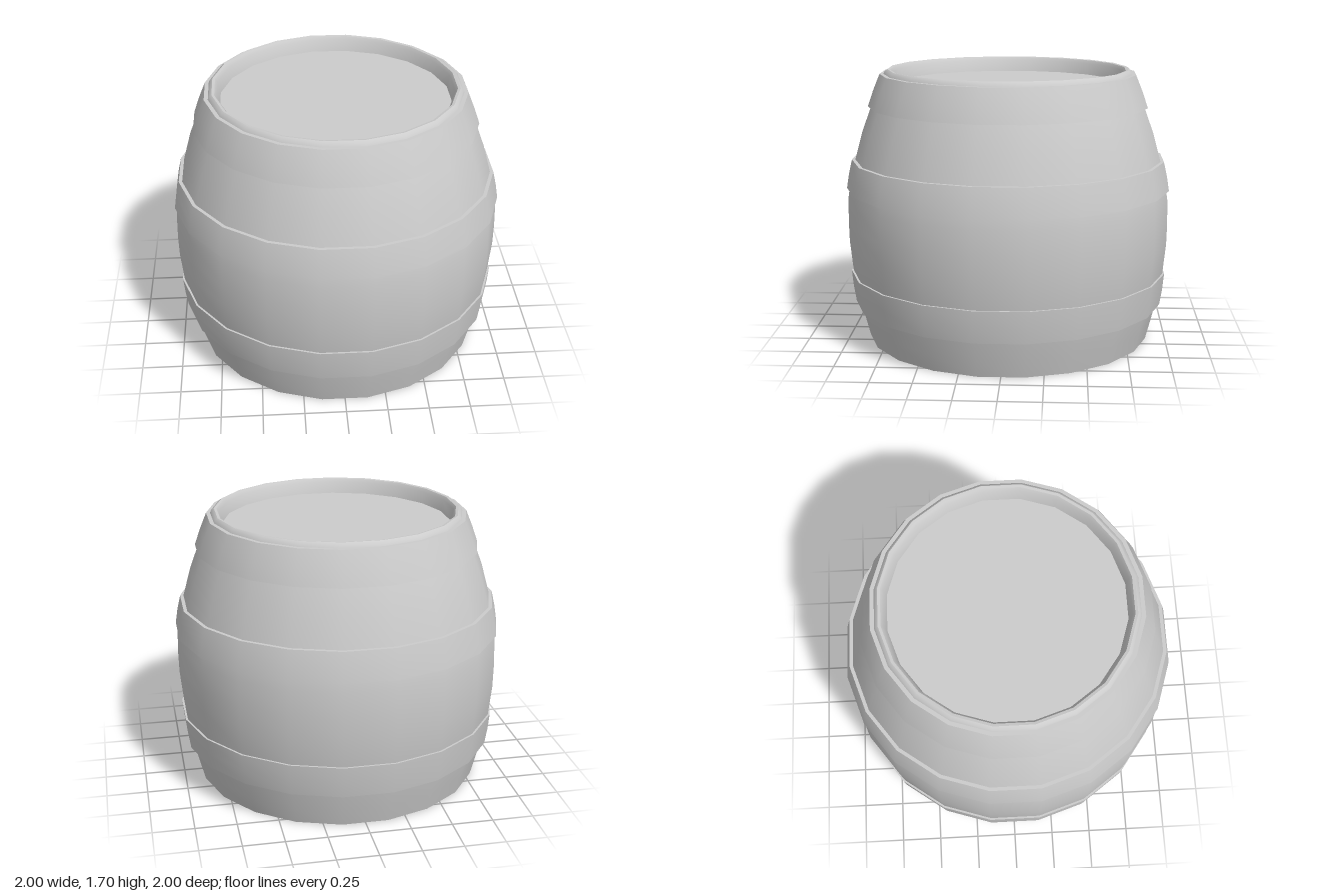
import * as THREE from 'three';
import { toCreasedNormals } from 'three/addons/utils/BufferGeometryUtils.js';

const SIDES = 20;
const grey = new THREE.MeshStandardMaterial({ color: 0xcccccc });
grey.name = 'grey';

// Turned part; radii are measured to the middle of each flat side
function turned(name, profile) {
  const k = 1 / Math.cos(Math.PI / SIDES);
  const points = profile.map(([r, y]) => new THREE.Vector2(r * k, y));
  const lathe = new THREE.LatheGeometry(points, SIDES, Math.PI / SIDES);
  const mesh = new THREE.Mesh(toCreasedNormals(lathe, 0.6), grey);
  mesh.name = name;
  return mesh;
}

// Hoop with ledges that reach into the staves
function hoop(name, y0, r0, y1, r1) {
  const ym = (y0 + y1) / 2, rm = (r0 + r1) / 2 + 0.003;
  return turned(name, [[r0 - 0.07, y0], [r0, y0], [rm, ym], [r1, y1], [r1 - 0.07, y1]]);
}

export function createModel() {
  const barrel = new THREE.Group();
  barrel.name = 'barrel';

  // Bulging wall, with a rounded top rim and a shallow foot rim
  barrel.add(turned('staves', [
    [0.845, 0.03], [0.86, 0], [0.877, 0], [0.905, 0.11], [0.934, 0.23], [0.973, 0.43],
    [0.992, 0.62], [0.995, 0.75], [0.992, 0.9], [0.975, 1.02], [0.944, 1.14],
    [0.895, 1.32], [0.84, 1.47], [0.765, 1.66], [0.755, 1.685], [0.738, 1.698],
    [0.722, 1.695], [0.708, 1.675], [0.69, 1.6],
  ]));

  // Flat ends set inside the rims
  barrel.add(turned('topHead', [[0.7, 1.605], [0, 1.605]]));
  barrel.add(turned('bottomHead', [[0, 0.025], [0.86, 0.025]]));

  // Three hoops
  barrel.add(hoop('lowerHoop', 0.23, 0.96, 0.43, 0.985));
  barrel.add(hoop('middleHoop', 0.96, 1.0, 1.14, 0.965));
  barrel.add(hoop('upperHoop', 1.47, 0.86, 1.67, 0.785));

  return barrel;
}
